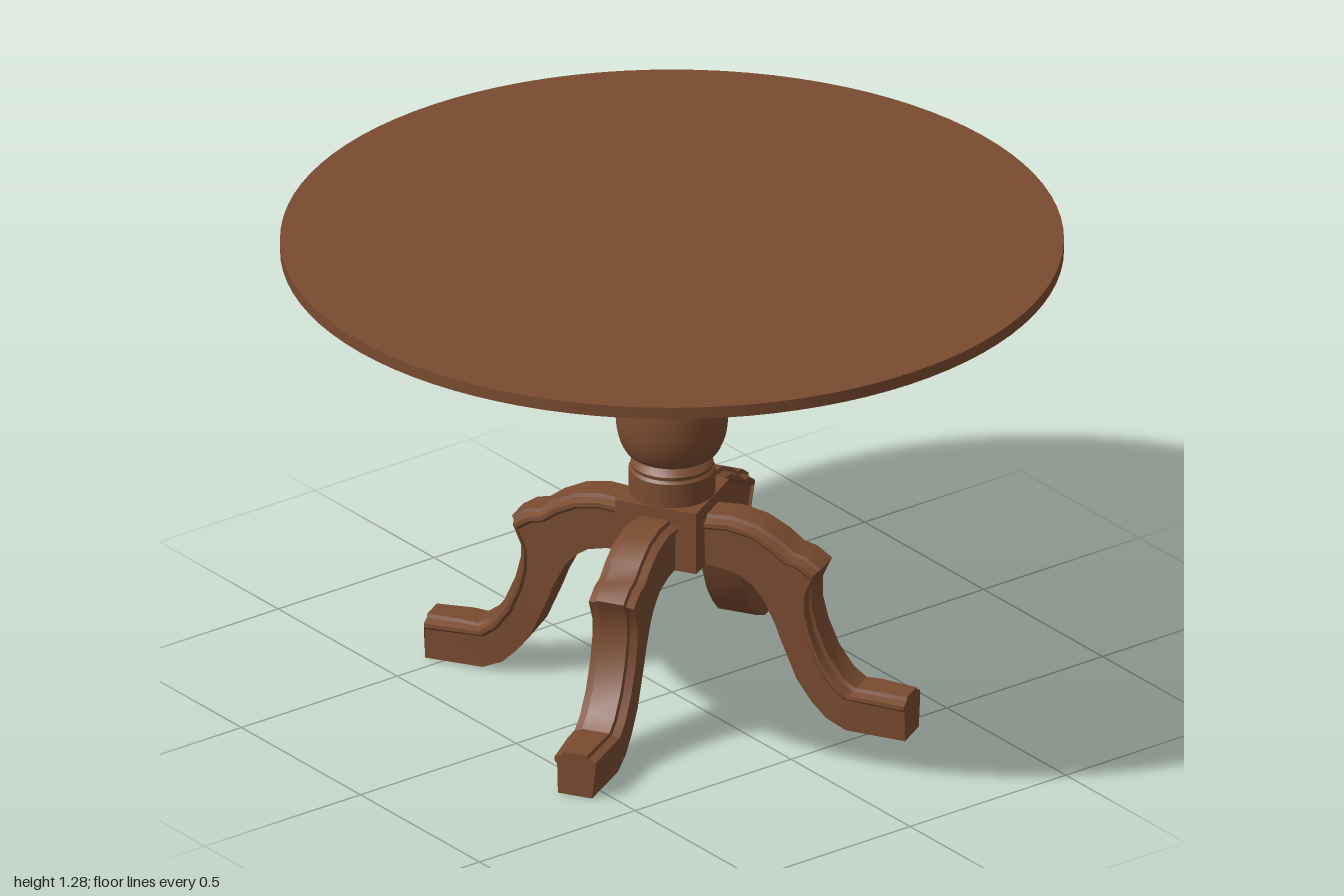
import * as THREE from 'three';
import { toCreasedNormals } from 'three/addons/utils/BufferGeometryUtils.js';

const LEG_ANGLE = THREE.MathUtils.degToRad(30.6);

// Upper and lower edges of a leg as [distance from centre, height], station by station
const LEG_TOP = [[.10, .54], [.18, .547], [.25, .535], [.31, .505], [.35, .475], [.385, .467], [.425, .44],
  [.40, .385], [.40, .33], [.415, .27], [.445, .20], [.485, .145], [.52, .12], [.56, .122], [.66, .118]];
const LEG_BOTTOM = [[.10, .405], [.16, .402], [.21, .39], [.24, .37], [.26, .35], [.275, .33], [.29, .30],
  [.305, .27], [.318, .235], [.337, .19], [.365, .125], [.405, .07], [.445, .03], [.50, .005], [.66, 0]];

// Moulded cross-section lofted between the two edges, running along +z
function legGeometry() {
  const positions = [], index = [];
  const stations = LEG_TOP.length;
  let sides = 0;
  LEG_TOP.forEach(([zt, yt], i) => {
    const [zb, yb] = LEG_BOTTOM[i];
    const length = Math.hypot(zt - zb, yt - yb);
    const w = i === stations - 1 ? .049 : .055;
    const half = [[w - .002, 0], [w, length - .036], [w + .008, length - .028],
      [w + .007, length - .017], [w - .013, length - .01], [w - .017, length]];
    const section = [...half, ...half.map(([x, d]) => [-x, d]).reverse()];
    sides = section.length;
    for (const [x, d] of section) {
      const t = d / length;
      positions.push(x, yb + (yt - yb) * t, zb + (zt - zb) * t);
    }
  });
  for (let i = 0; i < stations - 1; i++) {
    for (let j = 0; j < sides; j++) {
      const a = i * sides + j, b = i * sides + (j + 1) % sides;
      index.push(a, b, b + sides, a, b + sides, a + sides);
    }
  }
  // End caps
  const last = (stations - 1) * sides;
  for (let j = 1; j < sides - 1; j++) {
    index.push(last, last + j, last + j + 1, 0, j + 1, j);
  }
  const geometry = new THREE.BufferGeometry();
  geometry.setAttribute('position', new THREE.Float32BufferAttribute(positions, 3));
  geometry.setIndex(index);
  return toCreasedNormals(geometry, .5);
}

// Turned column: straight collars, a vase, and a waisted neck
function columnGeometry() {
  const profile = [[0, .57], [.111, .57], [.111, .638], [.104, .645]];
  const vase = new THREE.SplineCurve([[.088, .672], [.118, .69], [.138, .735], [.144, .79], [.139, .85],
    [.128, .90], [.115, .935]].map(p => new THREE.Vector2(...p)));
  const neck = new THREE.SplineCurve([[.108, .985], [.085, 1.012], [.055, 1.04], [.038, 1.07], [.036, 1.09],
    [.046, 1.112], [.055, 1.122]].map(p => new THREE.Vector2(...p)));
  const points = [
    ...profile.map(p => new THREE.Vector2(...p)),
    new THREE.Vector2(.106, .655), new THREE.Vector2(.098, .664),
    ...vase.getPoints(18),
    new THREE.Vector2(.098, .942), new THREE.Vector2(.088, .95), new THREE.Vector2(.09, .962),
    new THREE.Vector2(.112, .972), new THREE.Vector2(.112, .98),
    ...neck.getPoints(14),
    new THREE.Vector2(.057, 1.13), new THREE.Vector2(.057, 1.19),
  ];
  return toCreasedNormals(new THREE.LatheGeometry(points, 40), .6);
}

export function createModel() {
  const model = new THREE.Group();
  model.name = 'pedestalTable';
  const wood = new THREE.MeshStandardMaterial({ color: 0x7a4b30 });
  wood.name = 'brown wood';

  function add(name, geometry, y = 0, turn = 0) {
    const mesh = new THREE.Mesh(geometry, wood);
    mesh.name = name;
    mesh.position.y = y;
    mesh.rotation.y = turn;
    model.add(mesh);
  }

  // Top and the round block under it
  add('tableTop', new THREE.CylinderGeometry(1, 1, .032, 96), 1.266);
  add('topSupport', new THREE.CylinderGeometry(.522, .522, .066, 72), 1.218);

  add('column', columnGeometry());

  // Square hub in line with the legs
  add('hub', new THREE.BoxGeometry(.224, .17, .224), .488, LEG_ANGLE);

  // Four curved legs
  const leg = legGeometry();
  for (let i = 0; i < 4; i++) add('leg' + (i + 1), leg, 0, LEG_ANGLE + i * Math.PI / 2);

  return model;
}
